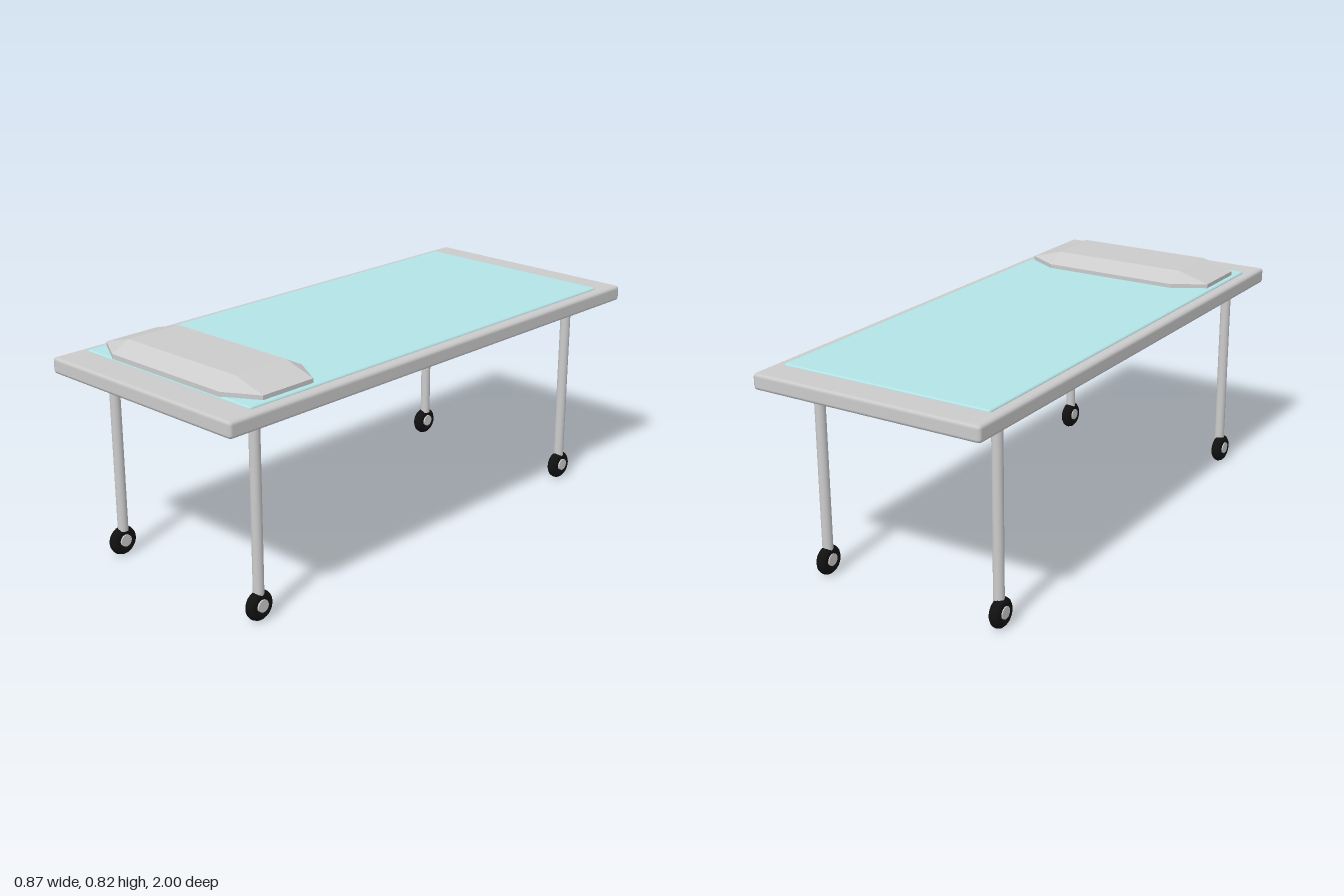
import * as THREE from 'three';
import { RoundedBoxGeometry } from 'three/addons/geometries/RoundedBoxGeometry.js';
import { ConvexGeometry } from 'three/addons/geometries/ConvexGeometry.js';

const grey = new THREE.MeshStandardMaterial({ color: 0xcccccc });
const teal = new THREE.MeshStandardMaterial({ color: 0xb4e4e7 });
const black = new THREE.MeshStandardMaterial({ color: 0x111111 });

function add(parent, name, geometry, material, x = 0, y = 0, z = 0) {
  const mesh = new THREE.Mesh(geometry, material);
  mesh.name = name;
  mesh.position.set(x, y, z);
  parent.add(mesh);
  return mesh;
}

// Pillow: octagonal slab rising to a flat rectangular top
function pillowGeometry() {
  const points = [];
  for (const sx of [-1, 1]) {
    for (const sz of [-1, 1]) {
      for (const y of [0.77, 0.787]) {
        points.push(new THREE.Vector3(sx * 0.382, y, sz * 0.107));
        points.push(new THREE.Vector3(sx * 0.262, y, sz * 0.176));
      }
      points.push(new THREE.Vector3(sx * 0.262, 0.822, sz * 0.107));
    }
  }
  return new ConvexGeometry(points);
}

export function createModel() {
  const model = new THREE.Group();
  model.name = 'wheeledBed';

  // Bed top
  add(model, 'bedFrame', new RoundedBoxGeometry(0.872, 0.058, 2, 1, 0.013), grey, 0, 0.736, 0);
  add(model, 'mattress', new RoundedBoxGeometry(0.8, 0.036, 1.778, 1, 0.008), teal, 0, 0.754, -0.003);
  add(model, 'pillow', pillowGeometry(), grey, 0, 0, 0.709);

  // Legs with casters; the wheels sit slightly off the left and right leg axes
  const legGeometry = new THREE.CylinderGeometry(0.0187, 0.0187, 0.63, 24);
  const tyreGeometry = new THREE.TorusGeometry(0.033, 0.02, 12, 32).rotateY(Math.PI / 2);
  const hubGeometry = new THREE.CylinderGeometry(0.022, 0.022, 0.045, 20).rotateZ(Math.PI / 2);
  for (const [side, legX, wheelX] of [['right', -0.367, -0.373], ['left', 0.328, 0.328]]) {
    for (const [end, z] of [['Front', 0.806], ['Back', -0.806]]) {
      const leg = new THREE.Group();
      leg.name = `${side}${end}Leg`;
      leg.position.z = z;
      add(leg, 'post', legGeometry, grey, legX, 0.408);
      add(leg, 'tyre', tyreGeometry, black, wheelX, 0.053);
      add(leg, 'hub', hubGeometry, grey, wheelX + 0.001, 0.057);
      model.add(leg);
    }
  }
  return model;
}
